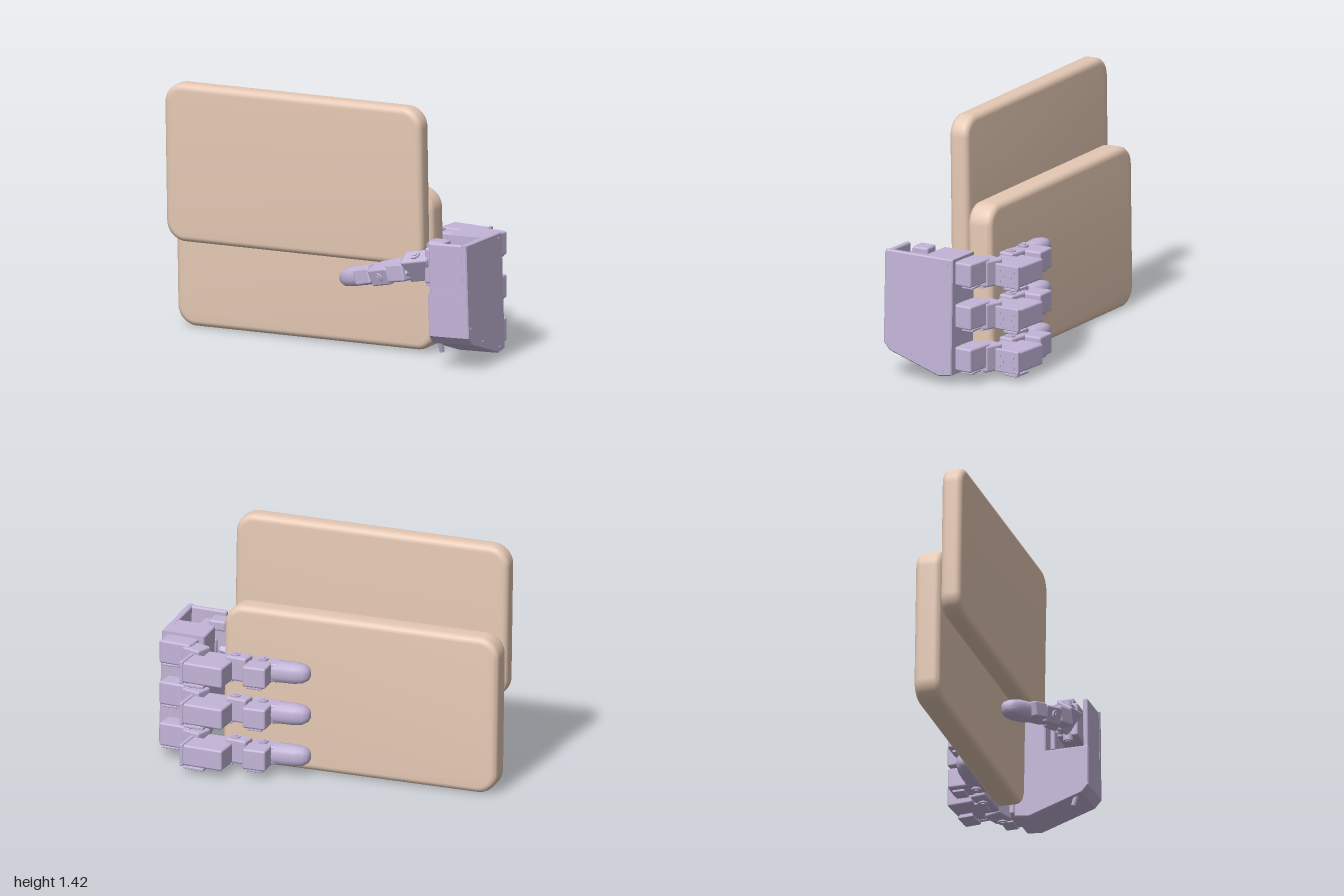
import * as THREE from 'three';
import { RoundedBoxGeometry } from 'three/addons/geometries/RoundedBoxGeometry.js';
import { toCreasedNormals } from 'three/addons/utils/BufferGeometryUtils.js';

const tan = new THREE.MeshStandardMaterial({ color: 0xe6c9b5 });
const lilac = new THREE.MeshStandardMaterial({ color: 0xc3b5d8 });
const X = new THREE.Vector3(1, 0, 0);

function add(parent, name, geo, mat, x = 0, y = 0, z = 0) {
  const m = new THREE.Mesh(geo, mat);
  m.name = name;
  m.position.set(x, y, z);
  parent.add(m);
  return m;
}

const block = (parent, name, [w, h, d], [x, y, z], r = 0.012) =>
  add(parent, name, new RoundedBoxGeometry(w, h, d, 2, Math.min(r, w / 2.1, h / 2.1, d / 2.1)), lilac, x, y, z);

// Cushion-like slab: rounded rectangle with a soft bevelled rim
function slab(parent, name, w, h, d, x, y, z) {
  const b = 0.035, r = 0.08, a = w / 2 - b, c = h / 2 - b;
  const s = new THREE.Shape();
  s.absarc(a - r, c - r, r, 0, Math.PI / 2);
  s.absarc(-a + r, c - r, r, Math.PI / 2, Math.PI);
  s.absarc(-a + r, -c + r, r, Math.PI, Math.PI * 1.5);
  s.absarc(a - r, -c + r, r, Math.PI * 1.5, Math.PI * 2);
  const geo = new THREE.ExtrudeGeometry(s, {
    depth: d - 2 * b, bevelSize: b, bevelThickness: b, bevelSegments: 5, curveSegments: 8,
  });
  geo.translate(0, 0, -d / 2 + b);
  const m = add(parent, name, toCreasedNormals(geo, 0.6), tan, x, y, z);
  m.rotation.set(0.017, 0, 0.008);
}

// Side profile given as [z, y], extruded inwards from x = outer
function profile(parent, name, pts, outer, depth) {
  const geo = new THREE.ExtrudeGeometry(new THREE.Shape(pts.map(p => new THREE.Vector2(...p))), {
    depth: depth - 0.012, bevelSize: 0.006, bevelThickness: 0.006, bevelSegments: 1,
  });
  geo.rotateY(-Math.PI / 2);
  return add(parent, name, geo, lilac, outer - 0.006, 0, 0);
}

// Group whose local x axis runs from a to b, centred between them
function bone(parent, name, a, b) {
  const g = new THREE.Group();
  const p = new THREE.Vector3(...a), q = new THREE.Vector3(...b);
  g.name = name;
  g.position.copy(p).add(q).multiplyScalar(0.5);
  g.quaternion.setFromUnitVectors(X, q.clone().sub(p).normalize());
  g.userData.length = p.distanceTo(q);
  parent.add(g);
  return g;
}

// Rounded fingertip, domed at its far (+x) end
function fingertip(parent, name, a, b, h, d) {
  const g = bone(parent, name, a, b);
  const L = g.userData.length, r = 0.5;
  const pts = [[0, -0.5], [0.46, -0.5], [0.5, -0.42], [0.5, 0.1], [0.44, 0.33], [0.3, 0.45], [0.15, 0.49], [0, 0.5]];
  const geo = new THREE.LatheGeometry(pts.map(p => new THREE.Vector2(...p)), 20);
  // Squash the round section towards a soft square
  const pos = geo.attributes.position;
  for (let i = 0; i < pos.count; i++) {
    const x = pos.getX(i), z = pos.getZ(i), m = Math.max(Math.abs(x), Math.abs(z), 1e-6);
    const k = 1 + 0.45 * (Math.hypot(x, z) / m - 1);
    pos.setX(i, Math.max(-r, Math.min(r, x * k)));
    pos.setZ(i, Math.max(-r, Math.min(r, z * k)));
  }
  geo.rotateZ(-Math.PI / 2);
  geo.scale(L, h, d);
  add(g, name + 'Pad', toCreasedNormals(geo, 0.8), lilac);
}

// Hinge: a pin through two side cheeks, axis along y
function hinge(parent, x, y, z, h) {
  add(parent, 'hingePin', new THREE.CylinderGeometry(0.028, 0.028, h, 14), lilac, x, y, z);
  for (const s of [-1, 1])
    add(parent, 'hingeCap', new THREE.CylinderGeometry(0.014, 0.014, 0.01, 10), lilac, x, y + s * h / 2, z);
}

function buildPalm(hand) {
  const palm = new THREE.Group();
  palm.name = 'palm';
  palm.position.set(0.012, 0, 0);
  palm.rotation.z = 0.03;
  hand.add(palm);
  const low = [[-0.055, 0.035], [0.02, 0.025], [0.33, 0.13], [0.365, 0.17]];
  profile(palm, 'palmSidePlate', [...low, [0.365, 0.69], [-0.055, 0.685]], 1.0, 0.035);
  profile(palm, 'palmLowerBlock', [...low, [0.365, 0.4], [-0.055, 0.4]], 0.98, 0.23);
  profile(palm, 'palmBackBlock', [[-0.055, 0.38], [0.12, 0.38], [0.12, 0.685], [-0.055, 0.685]], 0.98, 0.23);
  block(palm, 'palmFrontWall', [0.22, 0.32, 0.03], [0.87, 0.535, 0.353]);
  block(palm, 'palmRib', [0.23, 0.2, 0.03], [0.865, 0.5, 0.165]);
  const peg = add(palm, 'palmPeg', new THREE.CylinderGeometry(0.014, 0.014, 0.08, 10), lilac, 0.78, 0.1, 0.285);
  peg.rotation.x = 0.3;
  // Screws on the outer plate
  for (const [z, y] of [[-0.02, 0.66], [0.34, 0.22], [0.2, 0.12], [0, 0.05]])
    add(palm, 'palmScrew', new THREE.CylinderGeometry(0.009, 0.009, 0.008, 10).rotateZ(Math.PI / 2), lilac, 1.0, y, z);
}

function buildFinger(hand, y) {
  const f = new THREE.Group();
  f.name = 'finger';
  f.position.y = y;
  hand.add(f);

  // Knuckle bracket leaving the back of the palm
  block(f, 'knuckleBase', [0.19, 0.135, 0.12], [0.87, 0.03, -0.115]).rotation.y = -0.12;
  const k = block(f, 'knuckleYoke', [0.12, 0.15, 0.11], [0.755, 0.01, -0.155]);
  k.rotation.y = -0.35;
  hinge(f, 0.8, 0.01, -0.14, 0.165);
  block(f, 'knuckleTab', [0.1, 0.012, 0.07], [0.9, -0.045, -0.13], 0.004);

  // Large motor box carried outside the first link
  const motor = new THREE.Group();
  motor.name = 'fingerMotor';
  motor.position.set(0.64, 0, -0.293);
  motor.rotation.y = -0.09;
  f.add(motor);
  block(motor, 'motorCase', [0.24, 0.12, 0.15], [0, 0, 0]);
  block(motor, 'motorEndPlate', [0.022, 0.13, 0.16], [0.125, 0, 0], 0.006);
  block(motor, 'motorLowerTray', [0.12, 0.016, 0.09], [0.06, -0.078, -0.015], 0.004);
  for (const s of [-1, 1]) block(motor, 'trayPost', [0.015, 0.03, 0.08], [0.06 + s * 0.045, -0.065, -0.015], 0.004);
  for (const [yy, z] of [[0.03, -0.045], [-0.03, -0.045], [0, -0.025], [0, 0.025], [0.03, 0.045], [-0.03, 0.045]])
    add(motor, 'motorScrew', new THREE.CylinderGeometry(0.011, 0.011, 0.008, 10).rotateZ(Math.PI / 2), lilac, 0.137, yy, z);

  // First link, middle link and its small motor
  block(f, 'firstLink', [0.15, 0.11, 0.1], [0.62, 0, -0.175]).rotation.y = -0.05;
  block(f, 'firstLinkYoke', [0.13, 0.14, 0.09], [0.5, 0, -0.165]).rotation.y = -0.15;
  hinge(f, 0.52, 0, -0.165, 0.155);
  block(f, 'linkTab', [0.12, 0.012, 0.06], [0.58, -0.07, -0.19], 0.004);
  block(f, 'middleLink', [0.17, 0.11, 0.1], [0.345, 0, -0.155]).rotation.y = 0.1;
  hinge(f, 0.36, 0, -0.155, 0.135);
  block(f, 'middleMotor', [0.135, 0.12, 0.12], [0.365, 0, -0.245]);
  block(f, 'middleMotorTray', [0.09, 0.015, 0.07], [0.37, -0.07, -0.25], 0.004);
  fingertip(f, 'fingertip', [0.3, 0, -0.155], [0.085, 0, -0.145], 0.115, 0.115);
}

function buildThumb(hand) {
  const thumb = new THREE.Group();
  thumb.name = 'thumb';
  hand.add(thumb);
  block(thumb, 'thumbBaseMotor', [0.17, 0.2, 0.12], [0.79, 0.575, 0.265]);
  block(thumb, 'thumbBaseHead', [0.1, 0.06, 0.1], [0.76, 0.68, 0.25]);
  hinge(thumb, 0.72, 0.57, 0.265, 0.24);
  // Links as [start, end, height, depth]
  const links = [
    [[0.74, 0.575, 0.27], [0.57, 0.54, 0.26], 0.15, 0.1],
    [[0.6, 0.53, 0.255], [0.47, 0.5, 0.235], 0.12, 0.09],
    [[0.49, 0.505, 0.235], [0.35, 0.47, 0.19], 0.16, 0.1],
    [[0.36, 0.47, 0.185], [0.27, 0.445, 0.155], 0.12, 0.09],
  ];
  for (const [a, b, h, d] of links) {
    const g = bone(thumb, 'thumbLink', a, b);
    block(g, 'thumbLinkCase', [g.userData.length, h, d], [0, 0, 0]);
    hinge(g, 0, 0, 0, h + 0.02);
  }
  // Small motors on the outer side of the links
  block(thumb, 'thumbMotor', [0.13, 0.1, 0.08], [0.525, 0.51, 0.285]).rotation.set(0, -0.25, 0.2);
  block(thumb, 'thumbOuterMotor', [0.12, 0.09, 0.08], [0.285, 0.45, 0.215]).rotation.set(0, -0.3, 0.25);
  fingertip(thumb, 'thumbTip', [0.31, 0.455, 0.165], [0.08, 0.395, 0.105], 0.125, 0.11);
}

export function createModel() {
  const model = new THREE.Group();
  model.name = 'handHoldingSlabs';

  // Two overlapping slabs
  slab(model, 'frontSlab', 1.605, 0.9, 0.118, -0.195, 0.965, 0.12);
  slab(model, 'rearSlab', 1.61, 0.915, 0.15, -0.187, 0.468, -0.02);

  // Mechanical hand gripping the slabs' left edge
  const hand = new THREE.Group();
  hand.name = 'hand';
  model.add(hand);
  buildPalm(hand);
  for (const y of [0.605, 0.36, 0.115]) buildFinger(hand, y);
  buildThumb(hand);
  return model;
}
